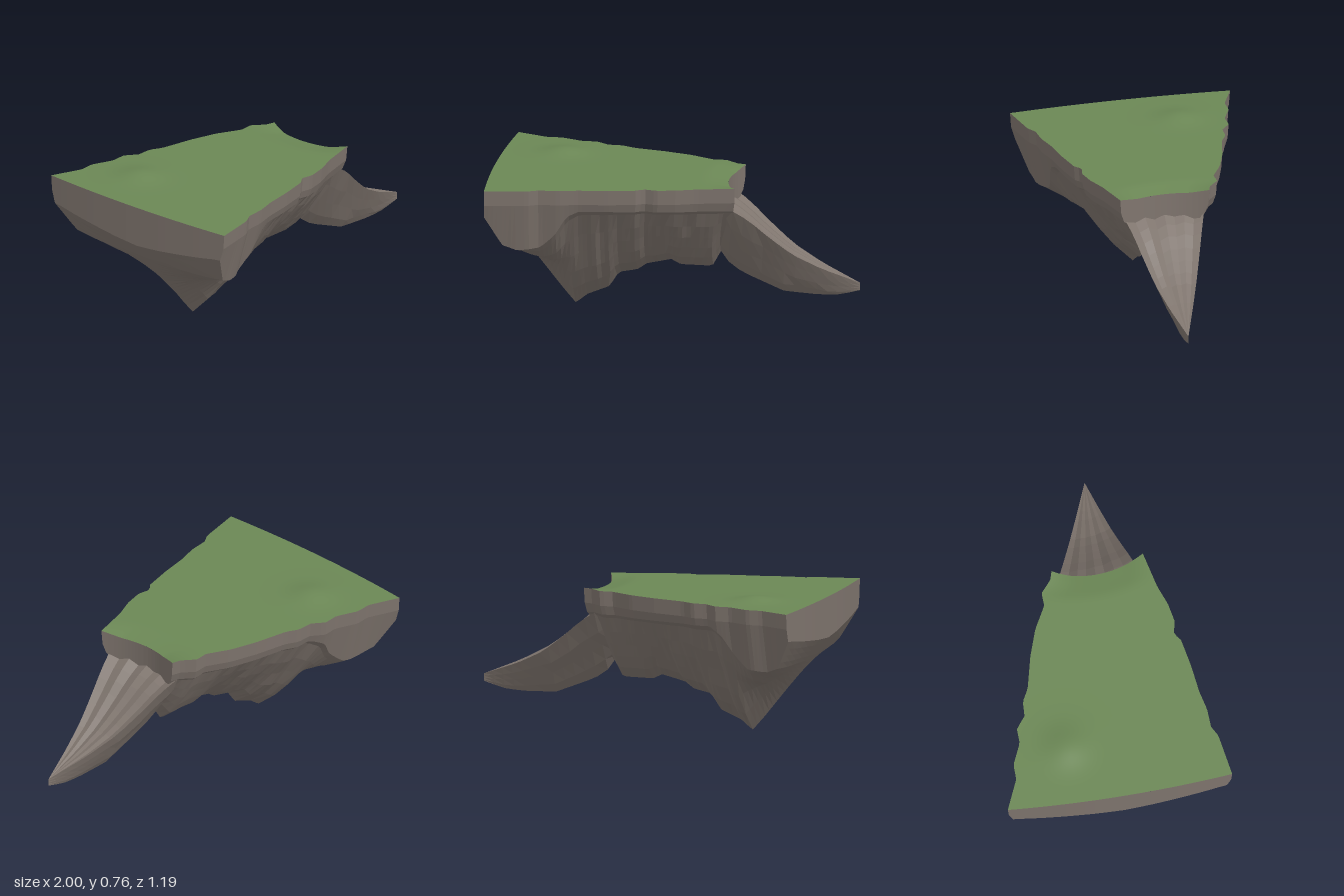
import * as THREE from 'three';

const rock = new THREE.MeshStandardMaterial({ color: 0x7f756e, flatShading: true });
rock.name = 'rock';
const grass = new THREE.MeshStandardMaterial({ color: 0x6b8755 });
grass.name = 'grass';

const { lerp, clamp } = THREE.MathUtils;

// Piecewise linear lookup in a list of [x, y] pairs
function along(table, x) {
  for (let i = 1; i < table.length; i++) {
    const [x0, y0] = table[i - 1], [x1, y1] = table[i];
    if (x <= x1) return lerp(y0, y1, clamp((x - x0) / (x1 - x0), 0, 1));
  }
  return table[table.length - 1][1];
}

// Seeded noise in -1..1
function noise(a, b) {
  const n = Math.sin(a * 127.1 + b * 311.7) * 43758.5453;
  return 2 * (n - Math.floor(n)) - 1;
}

// Surface through rows of points
function grid(rows, flip, material, name) {
  const m = rows[0].length, index = [];
  for (let i = 0; i < rows.length - 1; i++) {
    for (let j = 0; j < m - 1; j++) {
      const a = i * m + j, b = a + m, c = a + 1, d = b + 1;
      if (flip) index.push(a, c, b, b, c, d);
      else index.push(a, b, c, b, d, c);
    }
  }
  const g = new THREE.BufferGeometry();
  g.setAttribute('position', new THREE.Float32BufferAttribute(rows.flat(2), 3));
  g.setIndex(index);
  g.computeVertexNormals();
  const mesh = new THREE.Mesh(g, material);
  mesh.name = name;
  return mesh;
}

// Long rims of the plateau, as [x, z]
const frontRim = [[-0.87, 0.595], [-0.65, 0.535], [-0.6, 0.5], [-0.5, 0.485], [-0.4, 0.45], [-0.25, 0.415],
  [-0.1, 0.37], [-0.07, 0.335], [0, 0.345], [0.1, 0.315], [0.2, 0.265], [0.39, 0.2]];
const backRim = [[-1, -0.595], [-0.83, -0.54], [-0.75, -0.55], [-0.63, -0.51], [-0.55, -0.52], [-0.48, -0.475],
  [-0.4, -0.48], [-0.33, -0.45], [-0.15, -0.425], [0, -0.39], [0.13, -0.335], [0.2, -0.345], [0.27, -0.295], [0.32, -0.285]];
// Height of the ridge under the plateau, by x
const keel = [[-1, 0.58], [-0.9, 0.44], [-0.73, 0.24], [-0.6, 0.08], [-0.53, 0], [-0.47, 0.05], [-0.35, 0.1],
  [-0.3, 0.18], [-0.2, 0.2], [-0.15, 0.235], [-0.02, 0.265], [0.03, 0.24], [0.2, 0.24], [0.25, 0.33], [0.32, 0.33]];
// Lower edge of the side walls, from the wide end (0) to the narrow end (1)
const wallFoot = [[0, 0.59], [0.07, 0.43], [0.13, 0.4], [0.22, 0.41], [0.28, 0.48], [0.33, 0.59], [0.38, 0.62], [1, 0.61]];
// Underside steps from wall foot to ridge: [inward, drop on plain flanks, drop under the lobes]
const flank = [[0.08, 0.05, 0.13], [0.24, 0.27, 0.36], [0.4, 0.47, 0.46], [0.56, 0.66, 0.53], [0.74, 0.84, 0.72]];

// t runs along the plateau, v across it from front to back
function plan(t, v) {
  const xf = lerp(-0.87, 0.39, t), xb = lerp(-1, 0.32, t);
  const bow = 4 * v * (1 - v) * lerp(-0.025, -0.06, t);
  return [lerp(xf, xb, v) + bow, lerp(along(frontRim, xf), along(backRim, xb), v)];
}

function topPoint(t, v) {
  const [x, z] = plan(t, v);
  const mound = 0.025 * Math.exp(-(((x + 0.67) / 0.11) ** 2) - ((z + 0.27) / 0.11) ** 2);
  const dip = 0.02 * Math.min(1, 6 * v * (1 - v)) * clamp((t - 0.9) / 0.1, 0, 1);
  return [x, 0.74 + mound - dip, z];
}

// Cross-section from the front rim, under the ridge, to the back rim
function section(t, i) {
  const zf = plan(t, 0)[1], zb = plan(t, 1)[1], width = zf - zb;
  const keelV = (zf - lerp(0.02, -0.06, t)) / width;
  const keelY = along(keel, plan(t, keelV)[0]);
  const foot = along(wallFoot, t);
  const lobe = clamp((0.62 - foot) / 0.2, 0, 1);
  const inset = lerp(0.02, 0.07, lobe);
  const rough = t > 0 && t < 1 ? 1 : 0;
  const side = (s) => {
    const toV = (d) => s + (s ? -d : d) / width;
    const rib = rough * noise(Math.floor(i / 2), s + 1);
    return [
      [s, topPoint(t, s)[1]],
      [toV(0.006), 0.66],
      [toV(inset), foot],
      ...flank.map(([inward, plain, bulged], k) => {
        const bump = k ? 0.02 * rib + 0.012 * rough * noise(Math.floor(i / 3), s * 9 + k) : 0;
        return [lerp(toV(inset), keelV, inward + bump), lerp(foot, keelY, lerp(plain, bulged, lobe))];
      }),
    ];
  };
  return [...side(0), [keelV, keelY], ...side(1).reverse()];
}

function place(t, [v, y]) {
  const [x, z] = plan(t, v);
  return [x, y, z];
}

// Wall closing one end of the plateau
function endWall(t, flip, name) {
  const s = section(t, 0);
  const fine = [];
  s.forEach((p, j) => {
    if (j) fine.push([(s[j - 1][0] + p[0]) / 2, (s[j - 1][1] + p[1]) / 2]);
    fine.push(p);
  });
  return grid([fine.map((p) => topPoint(t, p[0])), fine.map((p) => place(t, p))], flip, rock, name);
}

// Spur: flat-topped V sections tapering to a thin tip, rooted inside the body
function spur() {
  const top = [[0, 0.605], [0.12, 0.555], [0.28, 0.46], [0.47, 0.36], [0.7, 0.28], [1, 0.2]];
  const bottom = [[-0.08, 0.35], [0, 0.27], [0.1, 0.22], [0.42, 0.13], [0.7, 0.122], [0.85, 0.13], [1, 0.16]];
  const rows = [];
  for (let i = -1; i <= 12; i++) {
    const s = i / 12, hi = along(top, s), lo = along(bottom, s), row = [];
    const taper = Math.min(1, 1 - s);
    const point = (p, y) => row.push([
      lerp(0.32 + 0.05 * p - 0.03 * (1 - p * p), 1, s), y, lerp(-0.05, -0.07, s) + p * 0.215 * taper]);
    for (let k = 0; k <= 8; k++) {
      point(1 - k / 4, hi - (k % 2) * 0.022 * taper * (1 + 0.6 * noise(k, 3)));
    }
    for (let k = 1; k <= 8; k++) {
      const p = -1 + k / 4;
      const dent = k < 8 && k !== 4 ? 0.02 * taper * noise(k, Math.floor(i / 3)) : 0;
      point(p, lerp(lo, hi, Math.abs(p) ** 1.3) + dent);
    }
    rows.push(row);
  }
  return grid(rows, false, rock, 'rockSpur');
}

export function createModel() {
  const model = new THREE.Group();
  model.name = 'floatingCliff';
  const N = 56;
  const body = [], lawn = [];
  for (let i = 0; i <= N; i++) {
    const t = i / N;
    body.push(section(t, i).map((p) => place(t, p)));
    lawn.push(Array.from({ length: 33 }, (_, j) => topPoint(t, j / 32)));
  }
  model.add(
    grid(body, true, rock, 'rockBody'),
    endWall(0, true, 'wideEndWall'),
    endWall(1, false, 'narrowEndWall'),
    spur(),
    grid(lawn, false, grass, 'grassTop'),
  );
  return model;
}
